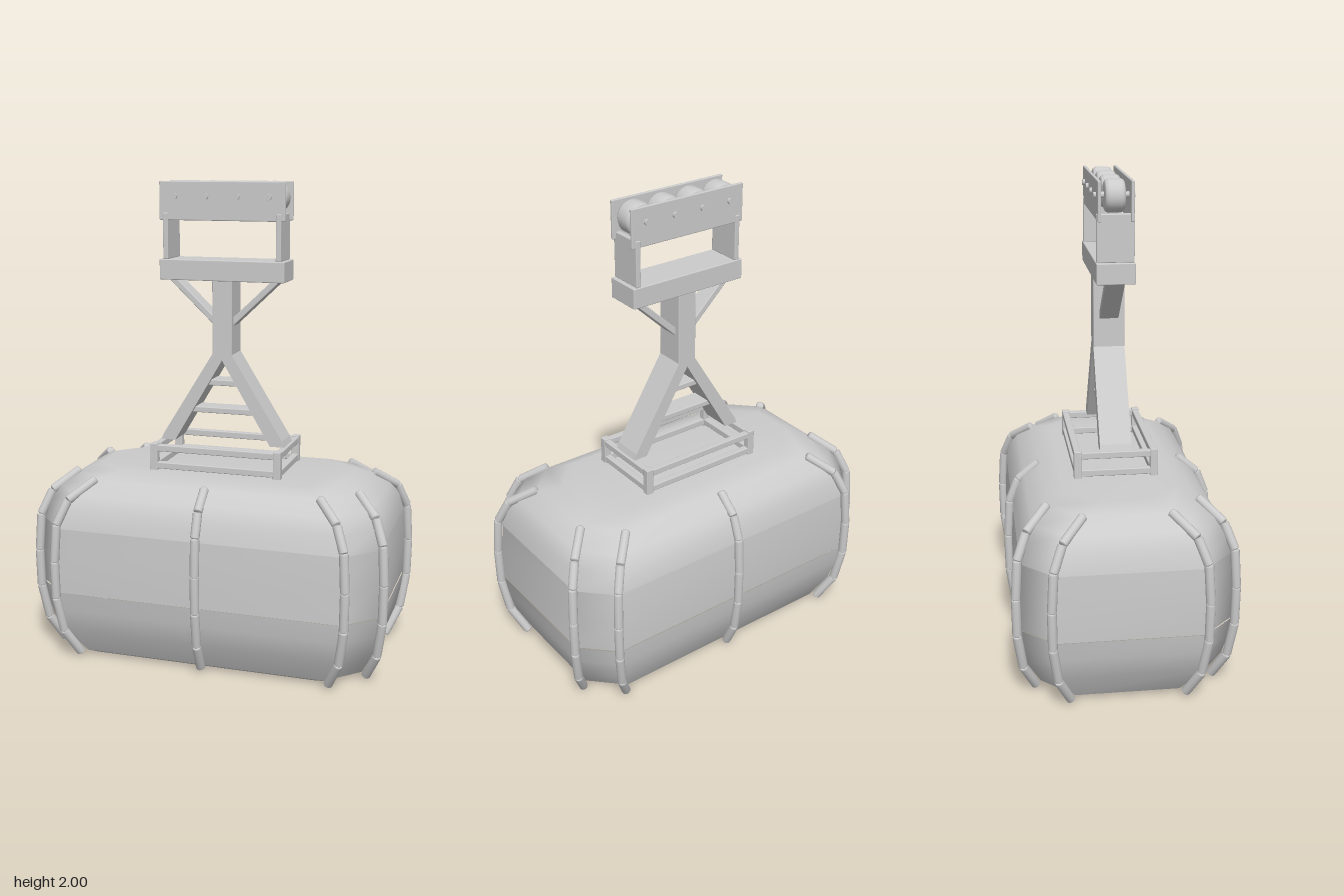
import * as THREE from 'three';
import { RoundedBoxGeometry } from 'three/addons/geometries/RoundedBoxGeometry.js';

const material = new THREE.MeshStandardMaterial({ color: 0xcccccc });

function add(parent, name, geometry, x = 0, y = 0, z = 0) {
  const mesh = new THREE.Mesh(geometry, material);
  mesh.name = name;
  mesh.position.set(x, y, z);
  parent.add(mesh);
  return mesh;
}

const box = (parent, name, w, h, d, x, y, z, r = 0.004) =>
  add(parent, name, new RoundedBoxGeometry(w, h, d, 2, r), x, y, z);

// Box running between two points in the xy plane
function beam(parent, name, a, b, width, depth) {
  const dx = b[0] - a[0], dy = b[1] - a[1];
  const mesh = box(parent, name, width, Math.hypot(dx, dy), depth, (a[0] + b[0]) / 2, (a[1] + b[1]) / 2, 0);
  mesh.rotation.z = Math.atan2(-dx, dy);
  return mesh;
}

// Round bar with bevelled ends running between two points
function bar(parent, name, a, b, r) {
  const half = a.distanceTo(b) / 2, e = r * 0.25;
  const profile = [[0, -half], [r - e, -half], [r, -half + e], [r, half - e], [r - e, half], [0, half]]
    .map(([x, y]) => new THREE.Vector2(x, y));
  const mesh = add(parent, name, new THREE.LatheGeometry(profile, 10));
  mesh.position.addVectors(a, b).multiplyScalar(0.5);
  mesh.quaternion.setFromUnitVectors(new THREE.Vector3(0, 1, 0), b.clone().sub(a).normalize());
}

// Chamfered rectangle, moved inwards by d
const outline = (d) => {
  const a = 0.605 - d, b = 0.735 - d, c = 0.425 - d, e = 0.295 - d;
  return [[a, c], [b, e], [b, -e], [a, -c], [-a, -c], [-b, -e], [-b, e], [-a, c]];
};

// Shell through outlines at [height, inset] levels, optionally capped
function shell(levels, cap) {
  const positions = [], index = [];
  levels.forEach(([y, d]) => outline(d).forEach(([x, z]) => positions.push(x, y, z)));
  for (let l = 0; l < levels.length - 1; l++) {
    for (let i = 0; i < 8; i++) {
      const a = l * 8 + i, b = l * 8 + (i + 1) % 8;
      index.push(a, b, b + 8, a, b + 8, a + 8);
    }
  }
  const top = (levels.length - 1) * 8;
  for (let i = 1; i < 7; i++) {
    if (cap === 'top') index.push(top, top + i, top + i + 1);
    if (cap === 'bottom') index.push(0, i + 1, i);
  }
  const g = new THREE.BufferGeometry();
  g.setAttribute('position', new THREE.Float32BufferAttribute(positions, 3));
  g.setIndex(index);
  g.computeVertexNormals();
  return g;
}

function buildCabin() {
  const cabin = new THREE.Group();
  cabin.name = 'cabin';
  add(cabin, 'floor', shell([[0, 0.12], [0.02, 0.085]], 'bottom'));
  add(cabin, 'lowerPanels', shell([[0.02, 0.085], [0.13, 0.03], [0.22, 0.01], [0.3, 0]]));
  add(cabin, 'windowBand', shell([[0.3, 0.003], [0.44, 0.002], [0.58, 0.01]]));
  add(cabin, 'roof', shell([[0.58, 0.008], [0.66, 0.025], [0.72, 0.06], [0.77, 0.125], [0.8, 0.2]], 'top'));

  // Segmented ribs on every corner and on the middle of both long sides
  const ribPath = [[0.015, 0.065], [0.13, 0.012], [0.28, -0.01], [0.44, -0.012], [0.6, -0.003], [0.7, 0.035], [0.775, 0.125]];
  const ribs = new THREE.Group();
  ribs.name = 'ribs';
  cabin.add(ribs);
  const ribPoints = (y, d) => [...outline(d), [0, 0.425 - d], [0, d - 0.425]]
    .map(([x, z]) => new THREE.Vector3(x, y, z));
  for (let s = 0; s < ribPath.length - 1; s++) {
    const low = ribPoints(...ribPath[s]), high = ribPoints(...ribPath[s + 1]);
    low.forEach((p, i) => bar(ribs, 'ribSegment', p, high[i], 0.019));
  }
  return cabin;
}

function buildRoofFrame() {
  const frame = new THREE.Group();
  frame.name = 'roofFrame';
  for (const s of [-1, 1]) {
    for (const y of [0.82, 0.895]) {
      box(frame, 'longRail', 0.55, 0.028, 0.028, 0, y, s * 0.157);
      box(frame, 'shortRail', 0.028, 0.028, 0.32, s * 0.268, y, 0);
    }
    for (const t of [-1, 1]) box(frame, 'cornerPost', 0.032, 0.12, 0.032, s * 0.268, 0.855, t * 0.157);
  }
  return frame;
}

function buildHanger() {
  const hanger = new THREE.Group();
  hanger.name = 'hanger';
  // Leg with square-cut foot and angled top
  const leg = new THREE.Shape([[0.21, 0.91], [0.272, 0.91], [0.262, 0.935], [0.042, 1.29], [0, 1.29], [0, 1.265]]
    .map(([x, y]) => new THREE.Vector2(x, y)));
  const legGeometry = new THREE.ExtrudeGeometry(leg, { depth: 0.13, bevelEnabled: false });
  legGeometry.translate(0, 0, -0.065);
  add(hanger, 'leftLeg', legGeometry);
  add(hanger, 'rightLeg', legGeometry).rotation.y = Math.PI;
  box(hanger, 'upperRung', 0.16, 0.025, 0.09, 0, 1.165, 0);
  box(hanger, 'lowerRung', 0.31, 0.025, 0.09, 0, 1.045, 0);
  box(hanger, 'column', 0.085, 0.34, 0.13, 0, 1.435, 0);
  for (const s of [-1, 1]) beam(hanger, 'brace', [s * 0.03, 1.415], [s * 0.23, 1.605], 0.026, 0.08);
  return hanger;
}

function buildCarriage() {
  const carriage = new THREE.Group();
  carriage.name = 'carriage';
  box(carriage, 'crossBeam', 0.535, 0.085, 0.155, 0, 1.638, 0);
  for (const s of [-1, 1]) {
    box(carriage, 'sidePost', 0.022, 0.19, 0.15, s * 0.241, 1.775, 0);
    box(carriage, 'sidePlate', 0.535, 0.158, 0.013, 0, 1.919, s * 0.065);
  }
  // Rollers with rounded rims, on axles through both plates
  const profile = [[0.012, -0.04], [0.052, -0.04], [0.06, -0.036], [0.066, -0.024], [0.066, 0.024],
    [0.06, 0.036], [0.052, 0.04], [0.012, 0.04]].map(([x, y]) => new THREE.Vector2(x, y));
  const roller = new THREE.LatheGeometry(profile, 28).rotateX(Math.PI / 2);
  const axle = new THREE.CylinderGeometry(0.012, 0.012, 0.164, 12).rotateX(Math.PI / 2);
  for (let i = 0; i < 4; i++) {
    const x = (i - 1.5) * 0.133;
    add(carriage, 'roller', roller, x, 1.934, 0);
    add(carriage, 'axle', axle, x, 1.937, 0);
  }
  return carriage;
}

export function createModel() {
  const model = new THREE.Group();
  model.name = 'cableCar';
  model.add(buildCabin(), buildRoofFrame(), buildHanger(), buildCarriage());
  return model;
}
